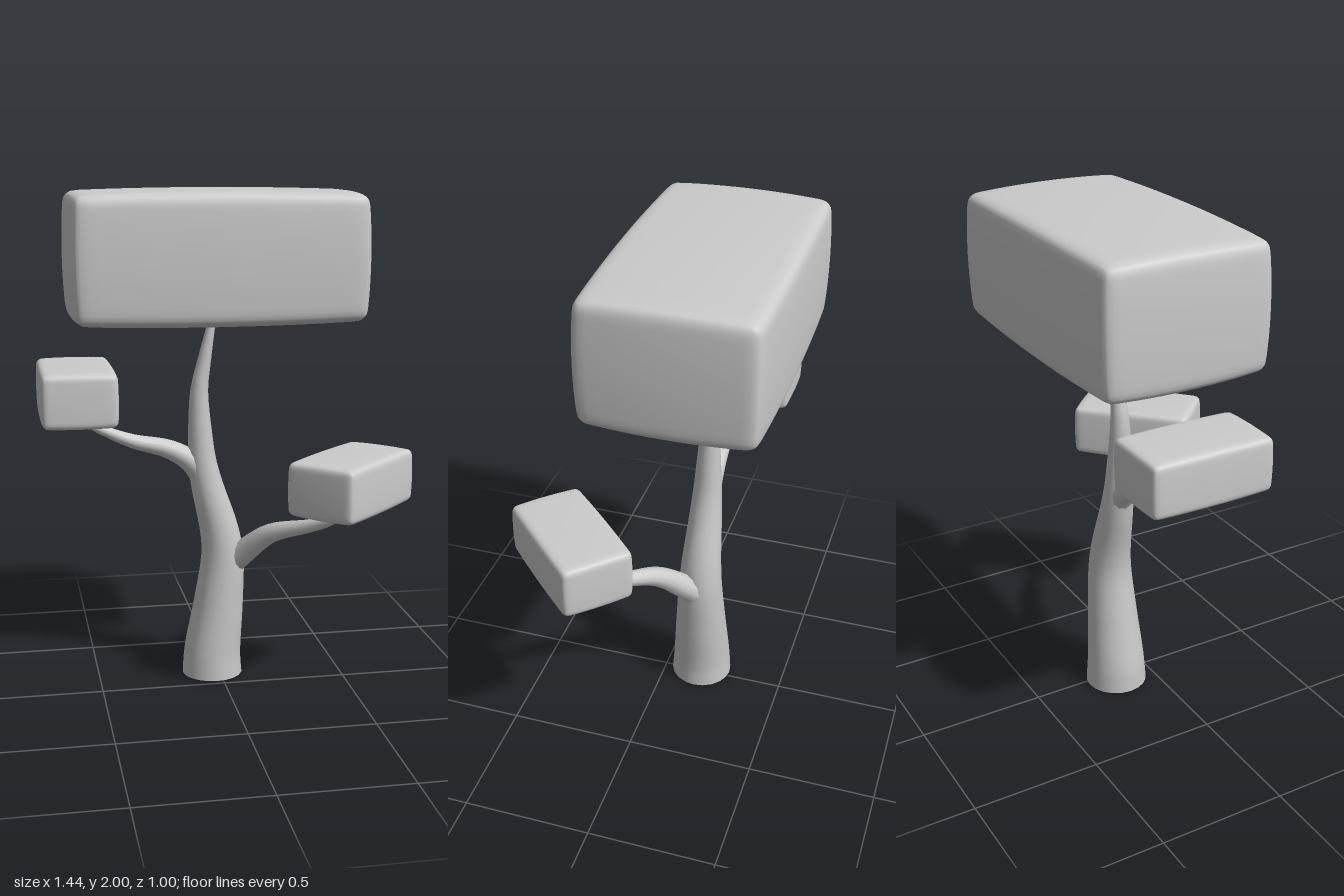
import * as THREE from 'three';
import { mergeVertices } from 'three/addons/utils/BufferGeometryUtils.js';

const material = new THREE.MeshStandardMaterial({ color: 0xcccccc });
const openMaterial = new THREE.MeshStandardMaterial({ color: 0xcccccc, side: THREE.DoubleSide });

// Round limb along a curve, tapering evenly from r0 to r1
function limb(name, points, r0, r1, rings, sides) {
  const curve = new THREE.CatmullRomCurve3(points.map((p) => new THREE.Vector3(...p)));
  const geometry = new THREE.TubeGeometry(curve, rings, 1, sides, false);
  const pos = geometry.attributes.position;
  const v = new THREE.Vector3();
  for (let i = 0; i <= rings; i++) {
    const centre = curve.getPointAt(i / rings);
    const r = THREE.MathUtils.lerp(r0, r1, i / rings);
    for (let j = 0; j <= sides; j++) {
      const k = i * (sides + 1) + j;
      v.fromBufferAttribute(pos, k).sub(centre).multiplyScalar(r).add(centre);
      pos.setXYZ(k, v.x, v.y, v.z);
    }
  }
  const mesh = new THREE.Mesh(geometry, openMaterial);
  mesh.name = name;
  return mesh;
}

// Soft block: rounded edges and slightly bulging faces
function foliage(name, size, centre, radius, bulge, turn = 0) {
  const n = 20;
  let geometry = new THREE.BoxGeometry(2, 2, 2, n, n, n);
  geometry.deleteAttribute('uv');
  geometry.deleteAttribute('normal');
  geometry = mergeVertices(geometry);
  const half = new THREE.Vector3(...size).multiplyScalar(0.5);
  const inner = half.clone().subScalar(radius);
  const pos = geometry.attributes.position;
  const v = new THREE.Vector3();
  const core = new THREE.Vector3();
  const ease = (s) => Math.sin((s * Math.PI) / 2);
  for (let i = 0; i < pos.count; i++) {
    // crowd the grid towards the edges, then round them
    v.set(ease(pos.getX(i)), ease(pos.getY(i)), ease(pos.getZ(i))).multiply(half);
    core.copy(v).clamp(inner.clone().negate(), inner);
    v.sub(core).setLength(radius).add(core);
    // draw the faces in towards their rims
    const a = (v.x / half.x) ** 2, b = (v.y / half.y) ** 2, c = (v.z / half.z) ** 2;
    pos.setXYZ(
      i,
      v.x - Math.sign(v.x) * bulge * a * (b + c) / 2,
      v.y - Math.sign(v.y) * bulge * b * (a + c) / 2,
      v.z - Math.sign(v.z) * bulge * c * (a + b) / 2,
    );
  }
  geometry.computeVertexNormals();
  const mesh = new THREE.Mesh(geometry, material);
  mesh.name = name;
  mesh.position.set(...centre);
  mesh.rotation.y = turn;
  return mesh;
}

export function createModel() {
  const tree = new THREE.Group();
  tree.name = 'tree';

  // Trunk, open at the base
  const z = -0.15;
  const trunkLine = [
    [-0.027, 0], [-0.027, 0.08], [0.0, 0.3], [0.017, 0.5], [0.005, 0.61], [-0.045, 0.8],
    [-0.065, 0.9], [-0.073, 1.0], [-0.077, 1.2], [-0.06, 1.3], [-0.02, 1.5],
  ];
  tree.add(limb('trunk', trunkLine.map(([x, y]) => [x, y, z]), 0.125, 0.014, 30, 20));

  // Branches
  tree.add(limb('rightBranch', [
    [-0.06, 0.84, z], [-0.11, 0.905, z], [-0.2, 0.96, z], [-0.35, 1.0, z],
    [-0.46, 1.045, z], [-0.6, 1.115, z],
  ], 0.052, 0.01, 20, 12));
  tree.add(limb('leftBranch', [
    [0.065, 0.49, -0.13], [0.1, 0.53, -0.1], [0.19, 0.625, -0.015], [0.32, 0.68, 0.095],
    [0.39, 0.715, 0.16], [0.48, 0.795, 0.24],
  ], 0.055, 0.01, 20, 12));

  // Foliage blocks
  tree.add(foliage('topFoliage', [1.155, 0.52, 0.69], [-0.027, 1.74, -0.155], 0.045, 0.022));
  tree.add(foliage('rightFoliage', [0.3, 0.22, 0.5], [-0.572, 1.21, -0.13], 0.025, 0.007));
  tree.add(foliage('leftFoliage', [0.5, 0.22, 0.295], [0.455, 0.89, 0.235], 0.025, 0.007, Math.PI / 4));

  return tree;
}
